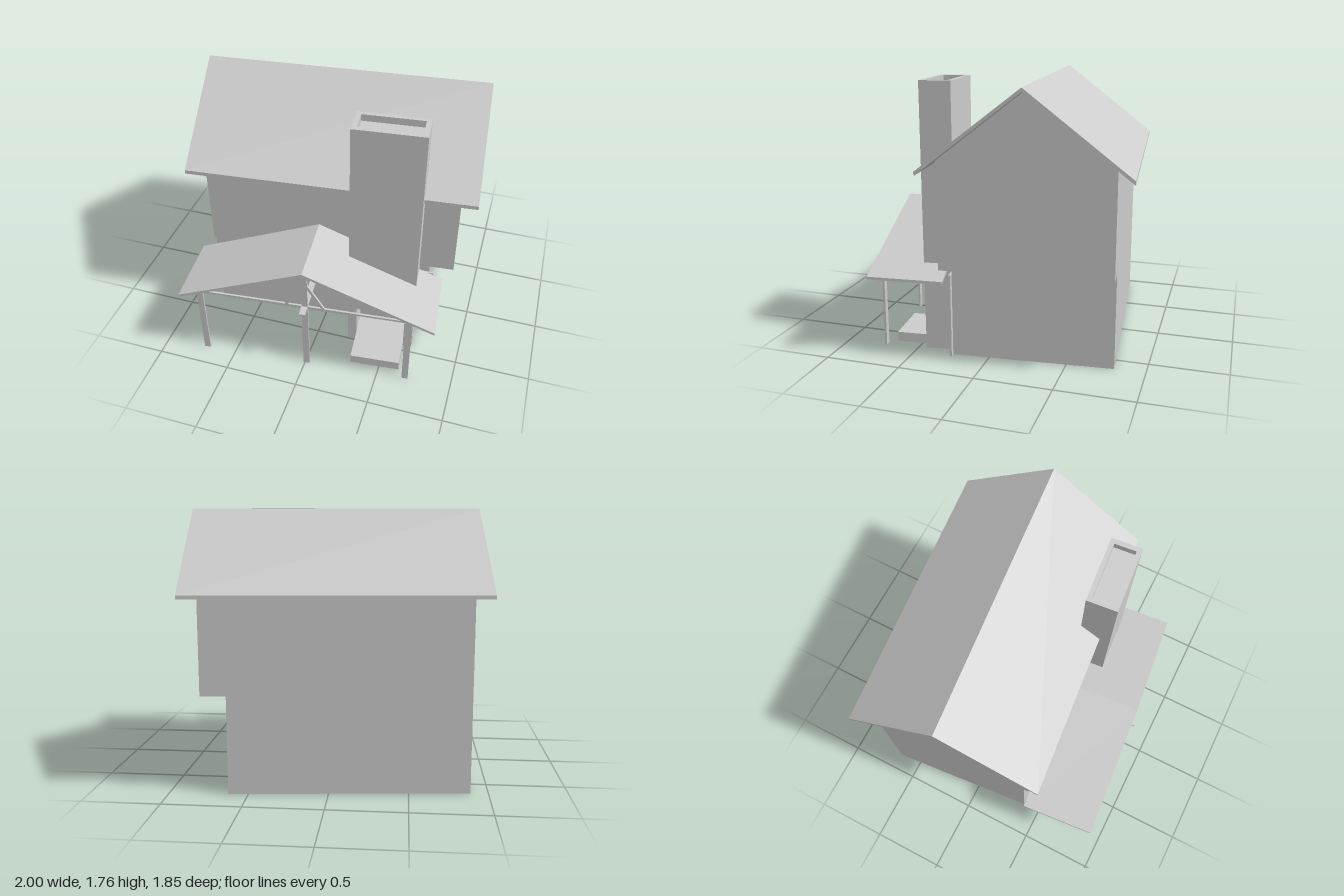
import * as THREE from 'three';

const material = new THREE.MeshStandardMaterial({ color: 0xcccccc, flatShading: true, side: THREE.DoubleSide });

function add(parent, name, geometry) {
  const mesh = new THREE.Mesh(geometry, material);
  mesh.name = name;
  parent.add(mesh);
  return mesh;
}

// Box given by its extents on each axis
function box(parent, name, [x0, x1], [y0, y1], [z0, z1]) {
  const mesh = add(parent, name, new THREE.BoxGeometry(x1 - x0, y1 - y0, z1 - z0));
  mesh.position.set((x0 + x1) / 2, (y0 + y1) / 2, (z0 + z1) / 2);
  return mesh;
}

function extrude(points, depth, hole) {
  const shape = new THREE.Shape(points.map(p => new THREE.Vector2(...p)));
  if (hole) shape.holes.push(new THREE.Path(hole.map(p => new THREE.Vector2(...p))));
  return new THREE.ExtrudeGeometry(shape, { depth, bevelEnabled: false });
}

const rect = (x0, x1, y0, y1) => [[x0, y0], [x1, y0], [x1, y1], [x0, y1]];

// Two sloping roof boards with plumb-cut eaves
function chevron(centre, half, eaveTop, ridge, t) {
  return [
    [centre - half, eaveTop - t], [centre, ridge - t], [centre + half, eaveTop - t],
    [centre + half, eaveTop], [centre, ridge], [centre - half, eaveTop],
  ];
}

function buildHouse(house) {
  // Lower storey: four walls, open below
  const lower = box(house, 'lowerWalls', [-0.824, 0.697], [0, 0.63], [-0.742, 0.304]);
  const index = Array.from(lower.geometry.index.array);
  lower.geometry.setIndex([...index.slice(0, 12), ...index.slice(24)]);

  // Upper storey with gables, extruded along the ridge
  const upper = add(house, 'upperWalls', extrude([
    [-0.339, 0.63], [0.742, 0.63], [0.742, 1.314], [0.203, 1.738], [-0.339, 1.314],
  ], 1.682));
  upper.rotation.y = Math.PI / 2;
  upper.position.x = -0.824;

  const roof = add(house, 'mainRoof', extrude(chevron(0.204, 0.643, 1.265, 1.765, 0.025), 1.888));
  roof.rotation.y = Math.PI / 2;
  roof.position.x = -0.925;
}

function buildChimney(house) {
  const chimney = new THREE.Group();
  chimney.name = 'chimney';
  house.add(chimney);

  // Stack front with the fireplace opening cut through it
  add(chimney, 'stackFront', extrude([
    [0.175, 0], [0.235, 0], [0.235, 0.3], [0.571, 0.3], [0.571, 0], [0.631, 0], [0.631, 1.72], [0.175, 1.72],
  ], 0.167)).position.z = 0.341;
  box(chimney, 'stackBack', [0.175, 0.631], [0, 1.72], [0.303, 0.341]);

  // Rim around the flue
  const rim = add(chimney, 'flueRim', extrude(
    rect(0.175, 0.631, -0.508, -0.303), 0.045, rect(0.208, 0.598, -0.478, -0.333)));
  rim.rotation.x = -Math.PI / 2;
  rim.position.y = 1.72;

  box(chimney, 'hearth', [0.235, 0.571], [0, 0.065], [0.341, 0.73]);
}

function buildPorch(house) {
  const porch = new THREE.Group();
  porch.name = 'porch';
  house.add(porch);
  const mid = -0.061, front = 0.789;

  add(porch, 'porchRoof', extrude(chevron(mid, 0.8535, 0.53, 0.875, 0.018), 0.5)).position.z = 0.34;

  // Posts at the front and against the wall
  const post = (name, x, z, top) =>
    box(porch, name, [x - 0.021, x + 0.021], [0, top], [z - 0.007, z + 0.007]);
  post('leftPost', -0.781, front, 0.54);
  post('centrePost', mid, front, 0.855);
  post('rightPost', 0.622, front, 0.54);
  post('wallPost', 0.706, 0.312, 0.54);

  // Beams running out from the wall, and the tie beam across the front
  for (const [x, end] of [[-0.781, 0.81], [mid, 0.87], [0.622, 0.81]])
    box(porch, 'beam', [x - 0.02, x + 0.02], [0.538, 0.552], [0.28, end]);
  box(porch, 'tieBeam', [-0.85, 0.66], [0.538, 0.552], [front - 0.007, front + 0.007]);
  box(porch, 'wallBeam', [-0.8, 0.727], [0.538, 0.552], [0.304, 0.32]);

  // Diagonal braces beside the centre post
  for (const side of [-1, 1]) {
    add(porch, 'brace', extrude([
      [mid + side * 0.015, 0.75], [mid + side * 0.015, 0.715],
      [mid + side * 0.115, 0.545], [mid + side * 0.137, 0.545],
    ], 0.014)).position.z = front - 0.007;
  }
}

export function createModel() {
  const model = new THREE.Group();
  model.name = 'model';
  const house = new THREE.Group();
  house.name = 'house';
  house.rotation.y = 0.0903; // the whole house stands slightly turned
  model.add(house);
  buildHouse(house);
  buildChimney(house);
  buildPorch(house);
  return model;
}
